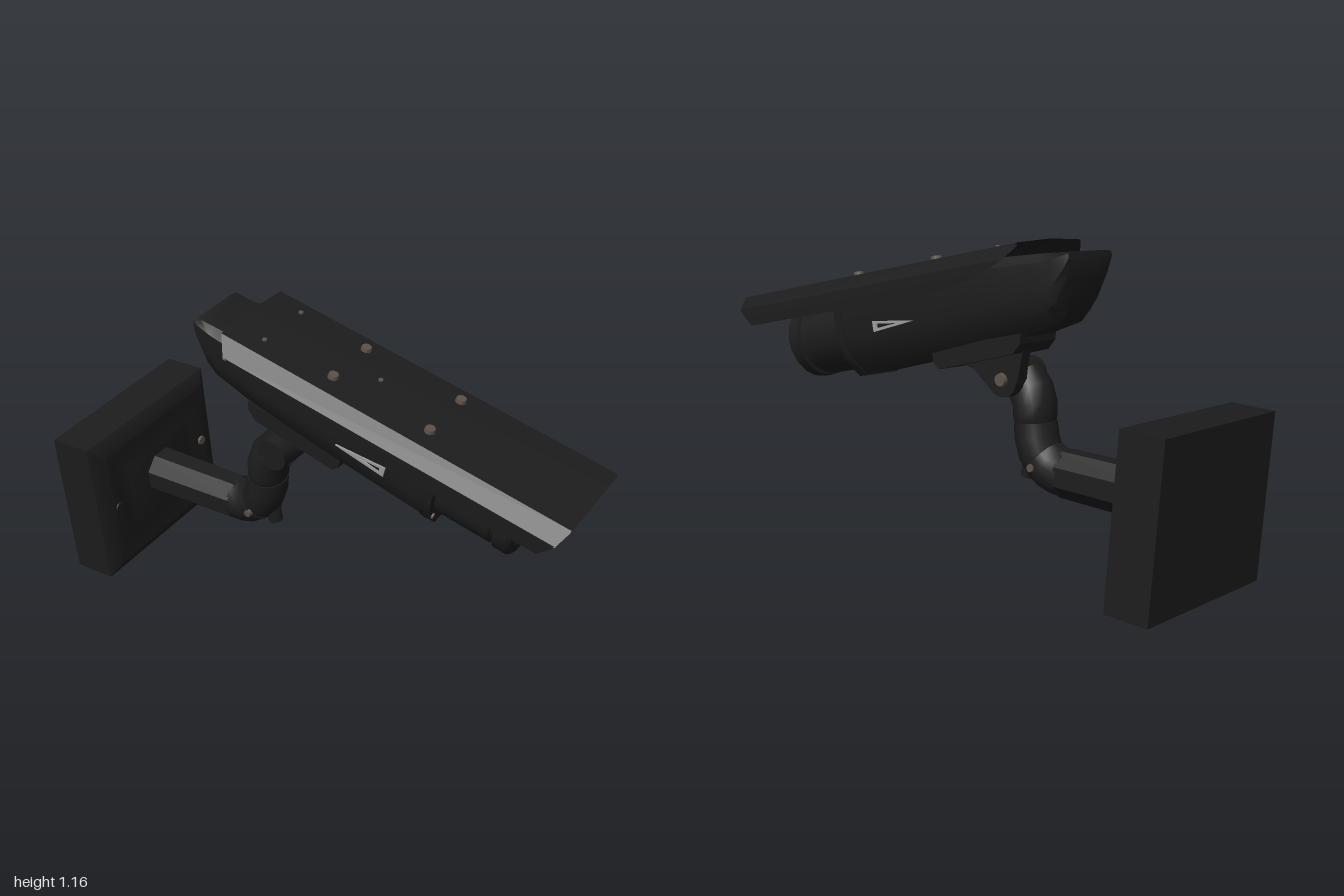
import * as THREE from 'three';
import { toCreasedNormals } from 'three/addons/utils/BufferGeometryUtils.js';

const V = (x, y, z) => new THREE.Vector3(x, y, z);
const black = new THREE.MeshStandardMaterial({ color: 0x1c1c1c });
const sheet = new THREE.MeshStandardMaterial({ color: 0x1c1c1c, side: THREE.DoubleSide });
const glass = new THREE.MeshStandardMaterial({ color: 0x0b0b0b });
const steel = new THREE.MeshStandardMaterial({ color: 0x5a5048 });
const silver = new THREE.MeshStandardMaterial({ color: 0x9a9a9a });

function add(parent, name, geometry, material = black) {
  const mesh = new THREE.Mesh(geometry, material);
  mesh.name = name;
  parent.add(mesh);
  return mesh;
}

// Skin a row of matching cross-sections; closed ones get end caps.
function loft(rings, closed = true) {
  const pos = [], n = rings[0].length;
  const tri = (...pts) => pts.forEach(p => pos.push(p.x, p.y, p.z));
  for (let i = 0; i < rings.length - 1; i++) {
    for (let j = 0; j < (closed ? n : n - 1); j++) {
      const k = (j + 1) % n;
      const a = rings[i][j], b = rings[i][k], c = rings[i + 1][k], d = rings[i + 1][j];
      tri(a, b, c);
      tri(a, c, d);
    }
  }
  if (closed) {
    for (const end of [0, rings.length - 1]) {
      const r = rings[end], mid = V(0, 0, 0);
      r.forEach(p => mid.addScaledVector(p, 1 / n));
      r.forEach((p, j) => end ? tri(mid, p, r[(j + 1) % n]) : tri(mid, r[(j + 1) % n], p));
    }
  }
  const g = new THREE.BufferGeometry();
  g.setAttribute('position', new THREE.Float32BufferAttribute(pos, 3));
  return toCreasedNormals(g, 0.6);
}

// Round section centred on (x, y), facing along a direction in the xy plane.
function ring(x, y, degrees, r, sides, rz = r) {
  const a = THREE.MathUtils.degToRad(degrees);
  return Array.from({ length: sides }, (_, i) => {
    const t = (i + 0.5) / sides * Math.PI * 2, c = Math.cos(t) * r;
    return V(x - Math.sin(a) * c, y + Math.cos(a) * c, Math.sin(t) * rz);
  });
}

// Short cylinder pointing along an axis: screws, bolts and pins.
function pin(parent, name, at, axis, r, h, material = steel) {
  const mesh = add(parent, name, toCreasedNormals(new THREE.CylinderGeometry(r * 0.85, r, h, 12), 0.6), material);
  mesh.position.copy(at);
  mesh.quaternion.setFromUnitVectors(V(0, 1, 0), axis.clone().normalize());
  return mesh;
}

const X = V(1, 0, 0), Y = V(0, 1, 0), Z = V(0, 0, 1);

function wallPlate() {
  const plate = new THREE.Group();
  plate.name = 'wallPlate';
  const rect = (x, inset) => {
    const h = 0.298 - inset, w = 0.343 - inset;
    return [V(x, h, -w), V(x, h, w), V(x, -h, w), V(x, -h, -w)];
  };
  add(plate, 'plateBlock', loft([rect(-0.09, 0), rect(0.075, 0), rect(0.105, 0.05),
    rect(0.105, 0.07), rect(0.099, 0.15), rect(0.105, 0.17)]));
  pin(plate, 'plateScrew', V(0.105, 0.012, -0.255), X, 0.02, 0.014);
  pin(plate, 'plateScrewCap', V(0.105, 0, 0.255), X, 0.022, 0.01, black);
  plate.position.set(-0.9, 0.325, 0);
  plate.rotation.z = 0.025;
  return plate;
}

function mountArm() {
  const arm = new THREE.Group();
  arm.name = 'mountArm';
  add(arm, 'armTube', loft([ring(-0.81, 0.343, 0, 0.092, 8), ring(-0.41, 0.35, 0, 0.088, 8)]));
  add(arm, 'lowerElbow', loft([ring(-0.42, 0.35, 0, 0.084, 16), ring(-0.385, 0.351, 8, 0.084, 16),
    ring(-0.35, 0.362, 22, 0.084, 16), ring(-0.318, 0.382, 36, 0.082, 16)]));
  add(arm, 'middleLink', loft([ring(-0.318, 0.37, 50, 0.072, 16), ring(-0.297, 0.4, 64, 0.077, 16, 0.082),
    ring(-0.275, 0.455, 76, 0.076, 16, 0.085), ring(-0.266, 0.51, 84, 0.073, 16, 0.085)]));
  add(arm, 'upperLink', loft([ring(-0.266, 0.51, 84, 0.068, 16, 0.08), ring(-0.263, 0.525, 84, 0.073, 16, 0.085),
    ring(-0.26, 0.57, 78, 0.076, 16, 0.085), ring(-0.238, 0.62, 62, 0.08, 16, 0.08),
    ring(-0.2, 0.66, 48, 0.078, 16, 0.072)]));
  pin(arm, 'pivotKnuckle', V(-0.19, 0.664, 0), Z, 0.073, 0.145, black);
  pin(arm, 'lockingStub', V(-0.254, 0.352, 0), V(0.18, -1, 0), 0.032, 0.09, black);
  for (const s of [-1, 1]) pin(arm, 'elbowBolt', V(-0.315, 0.362, s * 0.078), V(0, 0, s), 0.016, 0.018);
  arm.position.z = -0.01;
  return arm;
}

function cameraHousing() {
  const cam = new THREE.Group();
  cam.name = 'cameraHousing';

  // Main body: chamfered section swept from the tucked-up tail to the front lip
  const half = [[0.82, 1], [1, 0.88], [1, 0.45], [0.86, 0.2], [0.48, 0]];
  const section = (u, w, b, t) => {
    const pts = half.map(([z, f]) => V(u, b + (t - b) * f, z * w));
    return [...pts, ...pts.slice().reverse().map(p => V(u, p.y, -p.z))];
  };
  add(cam, 'body', loft([
    section(-0.55, 0.122, 0.11, 0.145), section(-0.53, 0.129, 0.055, 0.148),
    section(-0.475, 0.134, -0.042, 0.154), section(-0.43, 0.138, -0.078, 0.158),
    section(-0.27, 0.15, -0.107, 0.17), section(0.05, 0.162, -0.132, 0.17),
    section(0.47, 0.168, -0.157, 0.17)]));
  add(cam, 'frontLip', loft([section(0.468, 0.172, -0.162, 0.173), section(0.505, 0.17, -0.16, 0.172)]));

  // Lens barrel with end ring and recessed window
  const profile = [[0.145, 0.48], [0.147, 0.715], [0.141, 0.718], [0.141, 0.732], [0.154, 0.736],
    [0.154, 0.782], [0.143, 0.797], [0.108, 0.797], [0.1, 0.765], [0, 0.765]];
  const barrel = add(cam, 'lensBarrel', toCreasedNormals(
    new THREE.LatheGeometry(profile.map(([r, h]) => new THREE.Vector2(r, h)), 20), 0.5));
  barrel.rotation.z = -Math.PI / 2;
  barrel.position.y = 0.012;
  pin(cam, 'lensWindow', V(0.766, 0.012, 0), X, 0.112, 0.008, glass);
  for (let i = 0; i < 3; i++) {
    const a = -Math.PI / 2 + i * Math.PI * 2 / 3;
    pin(cam, 'barrelScrew', V(0.797, 0.012 + Math.sin(a) * 0.126, Math.cos(a) * 0.126), X, 0.012, 0.008);
  }

  // Folded sun hood: each fold line has its own rear and front end
  const folds = [[0.225, 0.095, -0.1, 0.908], [0.226, 0.123, -0.24, 0.93], [0.226, 0.155, -0.345, 0.955],
    [0.175, 0.203, -0.395, 0.976], [0, 0.21, -0.4, 0.979]];
  const lines = [...folds, ...folds.slice(0, -1).reverse().map(([z, ...rest]) => [-z, ...rest])];
  const skin = d => [2, 3].map(e => lines.map(l => V(l[e], l[1] - d, l[0] * (1 - d))));
  add(cam, 'sunHood', loft(skin(0), false), sheet);
  add(cam, 'sunHoodLining', loft(skin(0.008), false), sheet);

  for (const s of [-1, 1]) {
    for (const u of [0.017, 0.403]) pin(cam, 'hoodBolt', V(u, 0.21, s * 0.104 - 0.01), Y, 0.021, 0.018);
    pin(cam, 'hoodScrew', V(-0.266, 0.206, s * 0.11 - 0.01), Y, 0.01, 0.01);
    pin(cam, 'lipScrew', V(0.506, -0.1, s * 0.12), X, 0.013, 0.01);
    pin(cam, 'lipScrew', V(0.506, 0.09, s * 0.152), X, 0.013, 0.01);

    // Plain wedge-shaped trim frame on each flank
    const wedge = new THREE.Shape([[0.114, 0.008], [0.314, -0.01], [0.315, 0.03]].map(p => new THREE.Vector2(...p)));
    wedge.holes.push(new THREE.Path([[0.2, 0.009], [0.295, 0.018], [0.295, 0.002]].map(p => new THREE.Vector2(...p))));
    add(cam, 'sideTrim', new THREE.ExtrudeGeometry(wedge, { depth: 0.014, bevelEnabled: false }), silver)
      .position.z = s * 0.164 - 0.007;
  }
  pin(cam, 'hoodScrew', V(0.146, 0.209, -0.005), Y, 0.01, 0.01);

  // Bracket under the body: base plate, and one ear bolted to the side of the arm
  const base = new THREE.Shape([[-0.295, -0.09], [-0.285, -0.125], [-0.25, -0.155], [0.09, -0.174],
    [0.112, -0.152], [0.112, -0.1]].map(p => new THREE.Vector2(...p)));
  add(cam, 'bracketBase', new THREE.ExtrudeGeometry(base, { depth: 0.2, bevelEnabled: false })).position.z = -0.1;
  const ear = new THREE.Shape();
  ear.moveTo(-0.26, -0.14);
  ear.lineTo(-0.215, -0.25);
  ear.absarc(-0.148, -0.238, 0.062, Math.PI * 1.05, Math.PI * 1.8, false);
  ear.lineTo(-0.03, -0.19);
  ear.lineTo(0.03, -0.16);
  add(cam, 'bracketEar', new THREE.ExtrudeGeometry(ear, { depth: 0.045, bevelEnabled: false, curveSegments: 10 }))
    .position.z = -0.052;
  pin(cam, 'pivotBolt', V(-0.148, -0.238, -0.056), V(0, 0, -1), 0.026, 0.018);

  cam.position.set(0, 0.855, -0.077);
  cam.rotation.z = -0.239;
  return cam;
}

export function createModel() {
  const model = new THREE.Group();
  model.name = 'securityCamera';
  // Everything leans slightly about the arm axis
  const lean = new THREE.Group();
  lean.name = 'assembly';
  lean.position.y = 0.325;
  lean.rotation.x = 0.07;
  for (const part of [wallPlate(), mountArm(), cameraHousing()]) {
    part.position.y -= 0.325;
    lean.add(part);
  }
  model.add(lean);
  return model;
}
